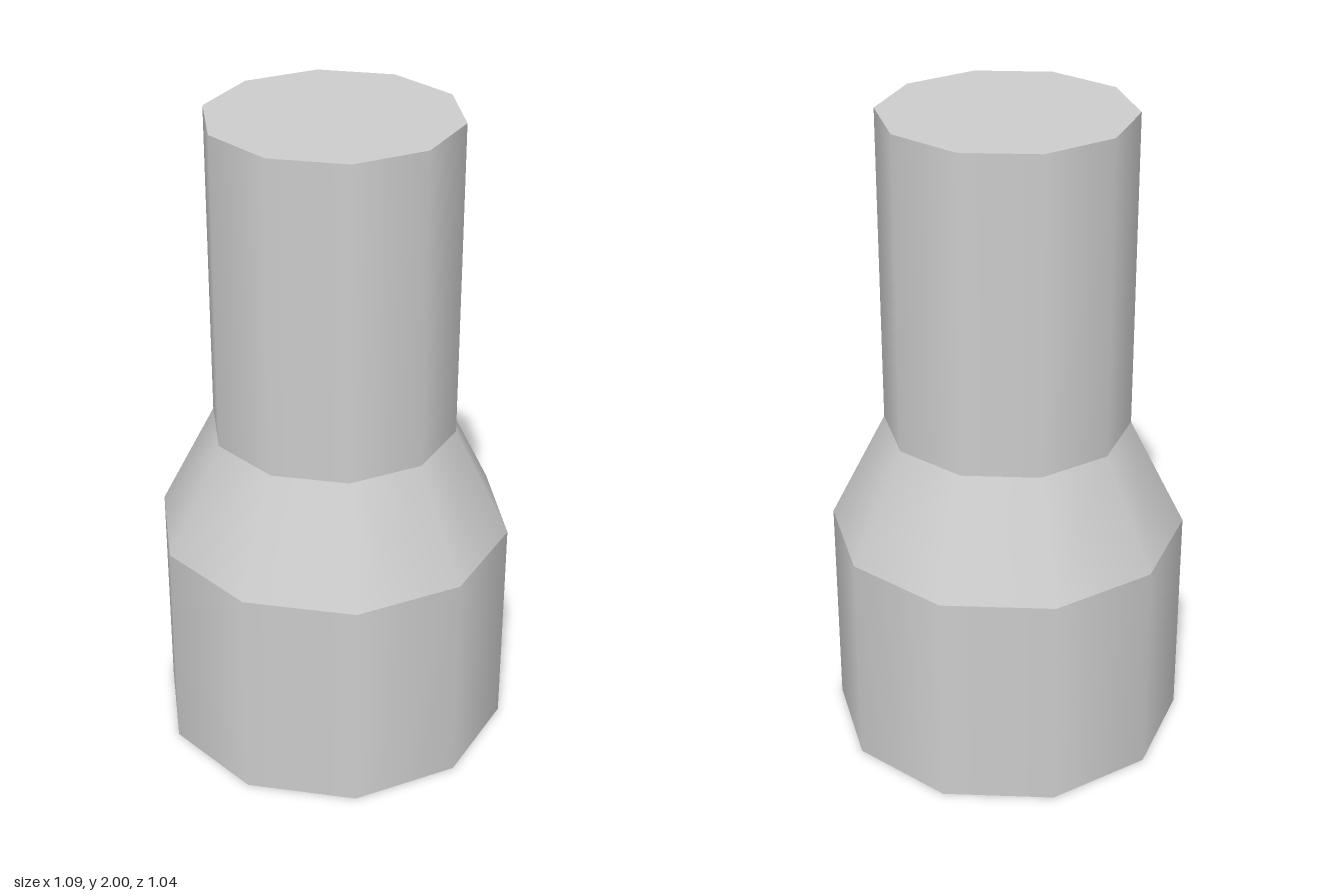
import * as THREE from 'three';

const SIDES = 10;
const LOWER_RADIUS = 0.545;
const UPPER_RADIUS = 0.375;
const SHOULDER_BOTTOM = 0.685;
const SHOULDER_TOP = 1.025;
const HEIGHT = 2;

export function createModel() {
  const group = new THREE.Group();
  group.name = 'steppedPeg';

  const grey = new THREE.MeshStandardMaterial({ color: 0xcccccc });
  grey.name = 'light grey';

  // One ten-sided section, with corners on the x axis and smooth sides
  function addSection(name, bottomY, topY, bottomRadius, topRadius) {
    const height = topY - bottomY;
    const geometry = new THREE.CylinderGeometry(
      topRadius, bottomRadius, height, SIDES, 1, true, Math.PI / 2);
    const mesh = new THREE.Mesh(geometry, grey);
    mesh.name = name;
    mesh.position.y = bottomY + height / 2;
    group.add(mesh);
  }

  // Flat end closing the body, facing up (1) or down (-1)
  function addCap(name, y, radius, direction) {
    const mesh = new THREE.Mesh(new THREE.CircleGeometry(radius, SIDES), grey);
    mesh.name = name;
    mesh.rotation.x = -direction * Math.PI / 2;
    mesh.position.y = y;
    group.add(mesh);
  }

  addSection('base', 0, SHOULDER_BOTTOM, LOWER_RADIUS, LOWER_RADIUS);
  addSection('shoulder', SHOULDER_BOTTOM, SHOULDER_TOP, LOWER_RADIUS, UPPER_RADIUS);
  addSection('neck', SHOULDER_TOP, HEIGHT, UPPER_RADIUS, UPPER_RADIUS);
  addCap('bottomFace', 0, LOWER_RADIUS, -1);
  addCap('topFace', HEIGHT, UPPER_RADIUS, 1);

  return group;
}
